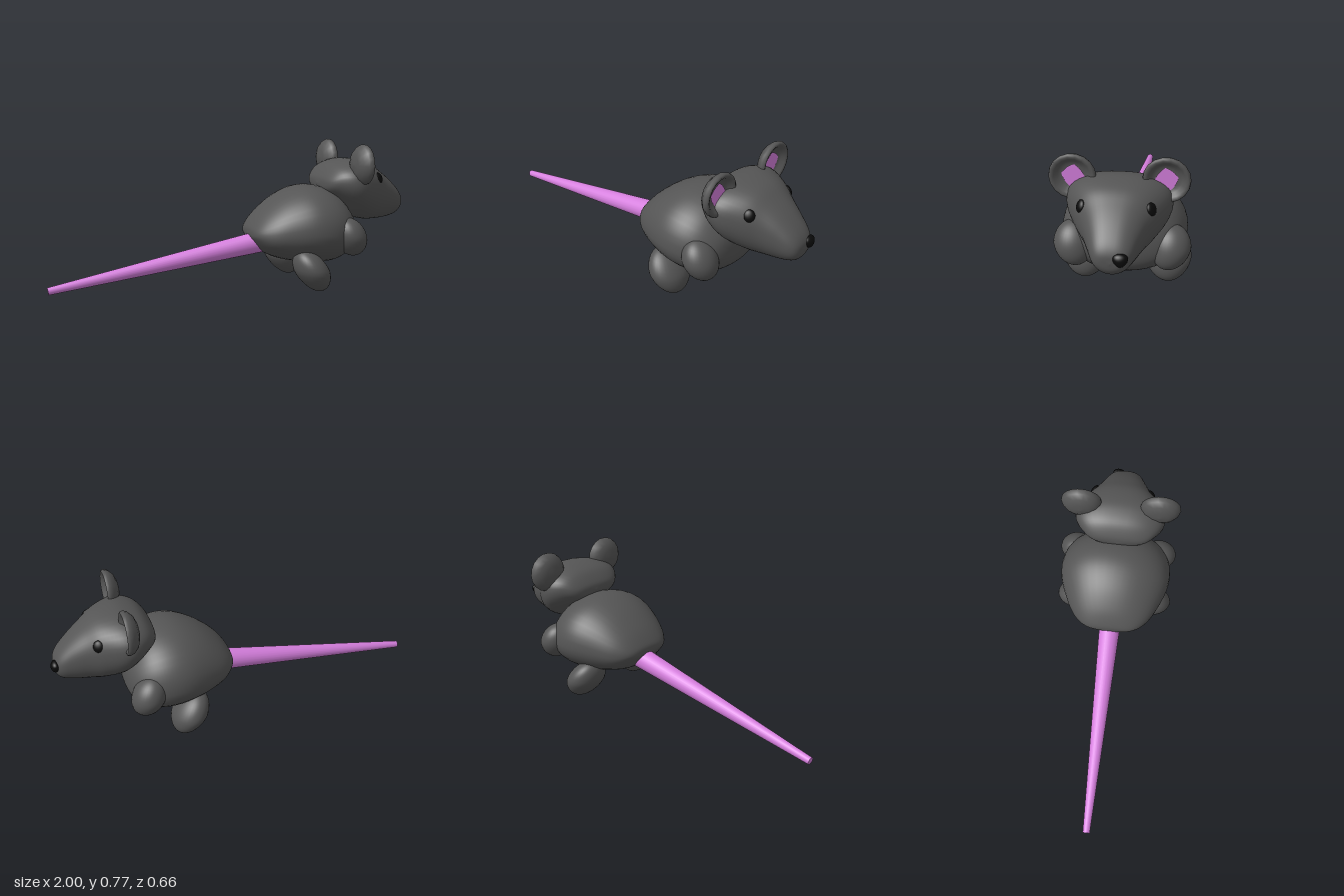
import * as THREE from 'three';

const fur = new THREE.MeshStandardMaterial({ color: 0x555555, name: 'greyFur' });
const pink = new THREE.MeshStandardMaterial({ color: 0xd67fde, name: 'pinkSkin', side: THREE.DoubleSide });
const black = new THREE.MeshStandardMaterial({ color: 0x0a0a0a, name: 'black' });

function add(parent, name, geometry, material) {
  const mesh = new THREE.Mesh(geometry, material);
  mesh.name = name;
  parent.add(mesh);
  return mesh;
}

// Smooth loft along x; each section is [x, top, bottom, halfWidth].
// mid is the height fraction of the widest point, power squares off the upper half.
function loft(sections, mid, power, rings = 48, sides = 40) {
  const heights = new THREE.CatmullRomCurve3(
    sections.map(([x, t, b]) => new THREE.Vector3(x, t, b)), false, 'catmullrom');
  const widths = new THREE.CatmullRomCurve3(
    sections.map(([x, , , w]) => new THREE.Vector3(x, w, 0)), false, 'catmullrom');
  const pos = [], index = [];
  for (let i = 0; i <= rings; i++) {
    const p = heights.getPoint(i / rings);
    const w = Math.max(0, widths.getPoint(i / rings).y);
    const yc = p.z + (p.y - p.z) * mid;
    for (let j = 0; j < sides; j++) {
      const a = (j / sides) * Math.PI * 2;
      const c = Math.cos(a), s = Math.sin(a);
      const e = 2 / (c > 0 ? power : 2);
      const y = Math.sign(c) * Math.abs(c) ** e;
      const z = Math.sign(s) * Math.abs(s) ** e;
      pos.push(p.x, yc + y * (y > 0 ? p.y - yc : yc - p.z), z * w);
      if (i < rings) {
        const k = (j + 1) % sides, r = i * sides, n = r + sides;
        index.push(r + j, r + k, n + j, r + k, n + k, n + j);
      }
    }
  }
  const g = new THREE.BufferGeometry();
  g.setAttribute('position', new THREE.Float32BufferAttribute(pos, 3));
  g.setIndex(index);
  g.computeVertexNormals();
  return g;
}

// Unit sphere reshaped by a rule that edits each point
function blob(rule) {
  const g = new THREE.SphereGeometry(1, 32, 22);
  const p = g.attributes.position, v = new THREE.Vector3();
  for (let i = 0; i < p.count; i++) {
    v.fromBufferAttribute(p, i);
    rule(v);
    p.setXYZ(i, v.x, v.y, v.z);
  }
  g.computeVertexNormals();
  return g;
}

export function createModel() {
  const model = new THREE.Group();
  model.name = 'mouse';

  // Body
  add(model, 'body', loft([
    [0.068, 0.3, 0.295, 0],
    [0.08, 0.34, 0.265, 0.12],
    [0.14, 0.415, 0.195, 0.2],
    [0.24, 0.493, 0.15, 0.258],
    [0.35, 0.54, 0.13, 0.298],
    [0.45, 0.543, 0.12, 0.303],
    [0.54, 0.51, 0.13, 0.275],
    [0.61, 0.44, 0.175, 0.215],
    [0.64, 0.38, 0.22, 0.13],
    [0.65, 0.3, 0.296, 0],
  ], 0.45, 2.1), fur);

  // Head, tapering to the snout
  add(model, 'head', loft([
    [0.475, 0.555, 0.55, 0],
    [0.487, 0.595, 0.51, 0.13],
    [0.535, 0.65, 0.465, 0.2],
    [0.6, 0.677, 0.41, 0.24],
    [0.665, 0.683, 0.362, 0.236],
    [0.75, 0.665, 0.338, 0.192],
    [0.82, 0.623, 0.336, 0.148],
    [0.89, 0.57, 0.341, 0.115],
    [0.95, 0.512, 0.358, 0.087],
    [0.978, 0.468, 0.388, 0.055],
    [0.985, 0.43, 0.425, 0],
  ], 0.56, 2.4), fur);

  // Nose, set a little to one side and pointed at the bottom
  const nose = add(model, 'nose', blob((v) => {
    const narrow = 0.82 + 0.25 * v.y;
    v.set(v.x * 0.025, v.y * 0.031, v.z * 0.039 * narrow);
  }), black);
  nose.position.set(0.975, 0.443, -0.043);

  // Tail
  const tip = new THREE.Vector3(-0.997, 0.069, 0), root = new THREE.Vector3(0.17, 0.25, 0);
  const tail = add(model, 'tail', new THREE.CylinderGeometry(0.06, 0.019, tip.distanceTo(root), 24), pink);
  tail.position.copy(tip).lerp(root, 0.5);
  tail.quaternion.setFromUnitVectors(new THREE.Vector3(0, 1, 0), root.clone().sub(tip).normalize());

  // Ear shell: domed back, rounded rim and hollow front
  const earProfile = [[0, 0], [0.045, 0.004], [0.08, 0.018], [0.102, 0.04], [0.109, 0.058], [0.106, 0.07],
    [0.097, 0.074], [0.085, 0.068], [0.07, 0.052], [0.05, 0.042], [0, 0.04]]
    .map(([r, h]) => new THREE.Vector2(r, h));
  const earShell = new THREE.LatheGeometry(earProfile, 18).rotateZ(-Math.PI / 2);

  // Pink ear lining: four-cornered patch with bowed sides
  const patch = new THREE.Shape();
  patch.moveTo(-0.008, 0.053);
  patch.quadraticCurveTo(0.03, 0.042, 0.052, 0.008);
  patch.quadraticCurveTo(0.045, -0.03, 0.014, -0.057);
  patch.quadraticCurveTo(-0.03, -0.046, -0.055, -0.01);
  patch.quadraticCurveTo(-0.043, 0.03, -0.008, 0.053);

  const limbArm = blob((v) => {
    const { x, y, z } = v;
    v.set(x * 0.086 - y * 0.022, y * 0.105, z * 0.094 + (y < 0 ? y * 0.015 : 0));
  });
  const limbLeg = blob((v) => {
    const { x, y, z } = v;
    const taper = y < 0 ? 1 + 0.12 * y : 1 - 0.05 * y;
    v.set(x * 0.092 * taper - y * 0.045, y * 0.114, z * 0.117 * taper);
  });

  for (const side of [1, -1]) {
    const label = side > 0 ? 'left' : 'right';

    const ear = new THREE.Group();
    ear.name = label + 'Ear';
    add(ear, label + 'EarShell', earShell, fur);
    const lining = add(ear, label + 'EarLining',
      new THREE.ShapeGeometry(patch, 6).scale(-side, 1, 1), pink);
    lining.rotation.y = Math.PI / 2;
    lining.position.x = 0.0475;
    ear.position.set(0.585, 0.667, side * 0.211);
    model.add(ear);

    // Eye, flattened against the cheek
    const eye = add(model, label + 'Eye', new THREE.SphereGeometry(0.03, 20, 14), black);
    eye.position.set(0.772, 0.585, side * 0.155);
    eye.lookAt(0.772 + 0.5, 0.585 + 0.4, side * (0.155 + 0.8));
    eye.scale.set(0.92, 1, 0.5);

    const arm = add(model, label + 'Arm', limbArm, fur);
    arm.position.set(0.566, 0.287, side * 0.234);
    arm.scale.z = side;

    const leg = add(model, label + 'Leg', limbLeg, fur);
    leg.position.set(0.353, 0.114, side * 0.21);
    leg.scale.z = side;
  }
  return model;
}
